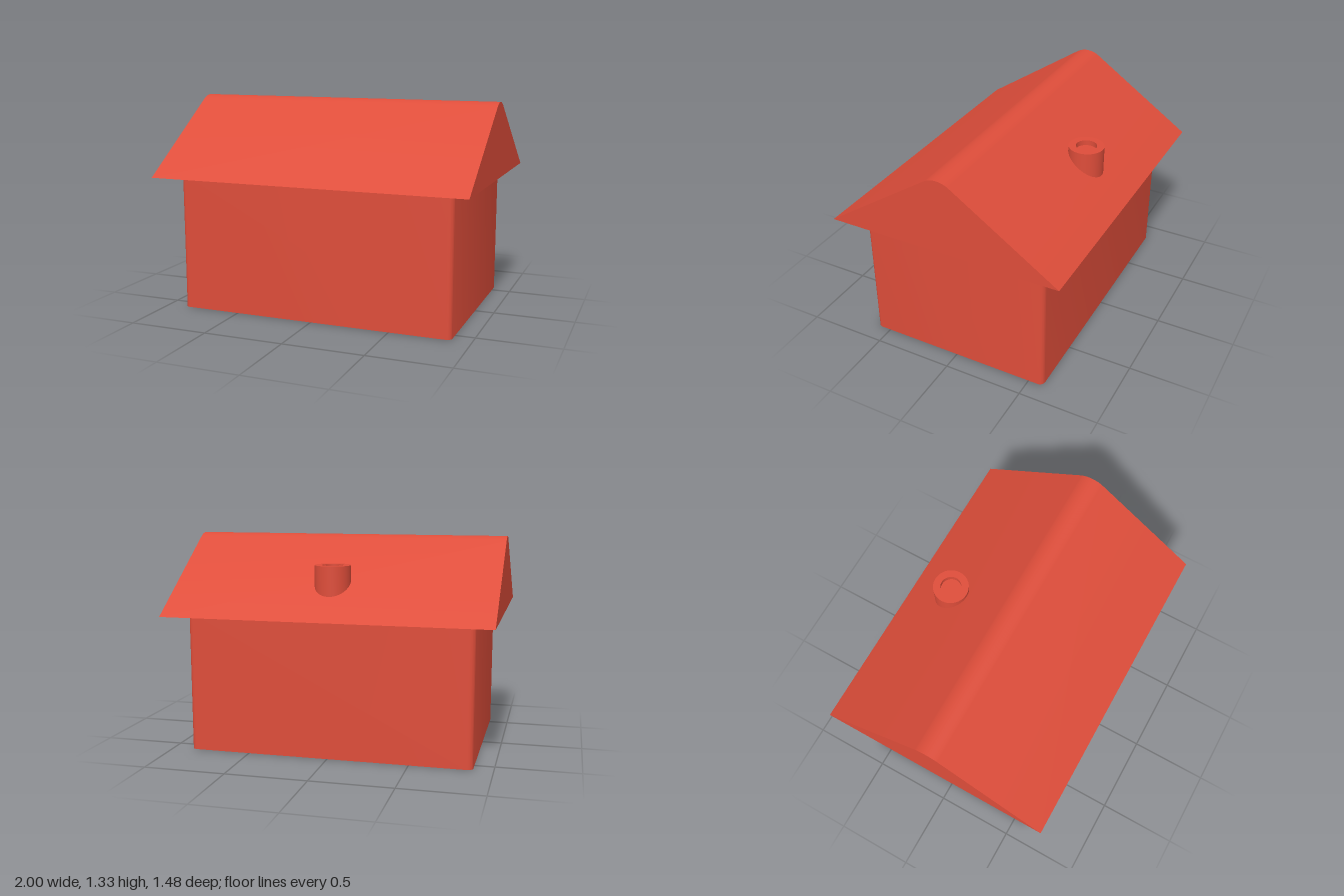
import * as THREE from 'three';
import { toCreasedNormals } from 'three/addons/utils/BufferGeometryUtils.js';

const red = new THREE.MeshStandardMaterial({ name: 'brick red', color: 0xde4d3a });

function part(name, geometry) {
  const mesh = new THREE.Mesh(toCreasedNormals(geometry, Math.PI / 6), red);
  mesh.name = name;
  return mesh;
}

// Walls: rectangle with rounded vertical corners, extruded upward
function walls() {
  const w = 0.88, d = 0.595, r = 0.035;
  const s = new THREE.Shape();
  s.absarc(w - r, d - r, r, 0, Math.PI / 2);
  s.absarc(-w + r, d - r, r, Math.PI / 2, Math.PI);
  s.absarc(-w + r, -d + r, r, Math.PI, Math.PI * 1.5);
  s.absarc(w - r, -d + r, r, Math.PI * 1.5, Math.PI * 2);
  s.closePath();
  const g = new THREE.ExtrudeGeometry(s, { depth: 0.855, bevelEnabled: false, curveSegments: 6 });
  return part('walls', g.rotateX(-Math.PI / 2));
}

// Solid gable roof with a rounded ridge, extruded along x
function roof() {
  const eave = 0.74, base = 0.855, top = 1.325, r = 0.143, pitch = 0.593;
  const s = new THREE.Shape();
  s.moveTo(-eave, base);
  s.lineTo(eave, base);
  s.absarc(0, top - r, r, Math.PI / 2 - pitch, Math.PI / 2 + pitch);
  s.closePath();
  const g = new THREE.ExtrudeGeometry(s, { depth: 2, bevelEnabled: false, curveSegments: 16 });
  return part('roof', g.translate(0, 0, -1).rotateY(Math.PI / 2));
}

// Round chimney with a shallow recess in its top
function chimney() {
  const profile = [[0, 0.9], [0.11, 0.9], [0.11, 1.163], [0.065, 1.163], [0.065, 1.13], [0, 1.13]];
  const g = new THREE.LatheGeometry(profile.map(([x, y]) => new THREE.Vector2(x, y)), 40);
  const mesh = part('chimney', g);
  mesh.position.z = -0.44;
  return mesh;
}

export function createModel() {
  const house = new THREE.Group();
  house.name = 'house';
  house.add(walls(), roof(), chimney());
  return house;
}
